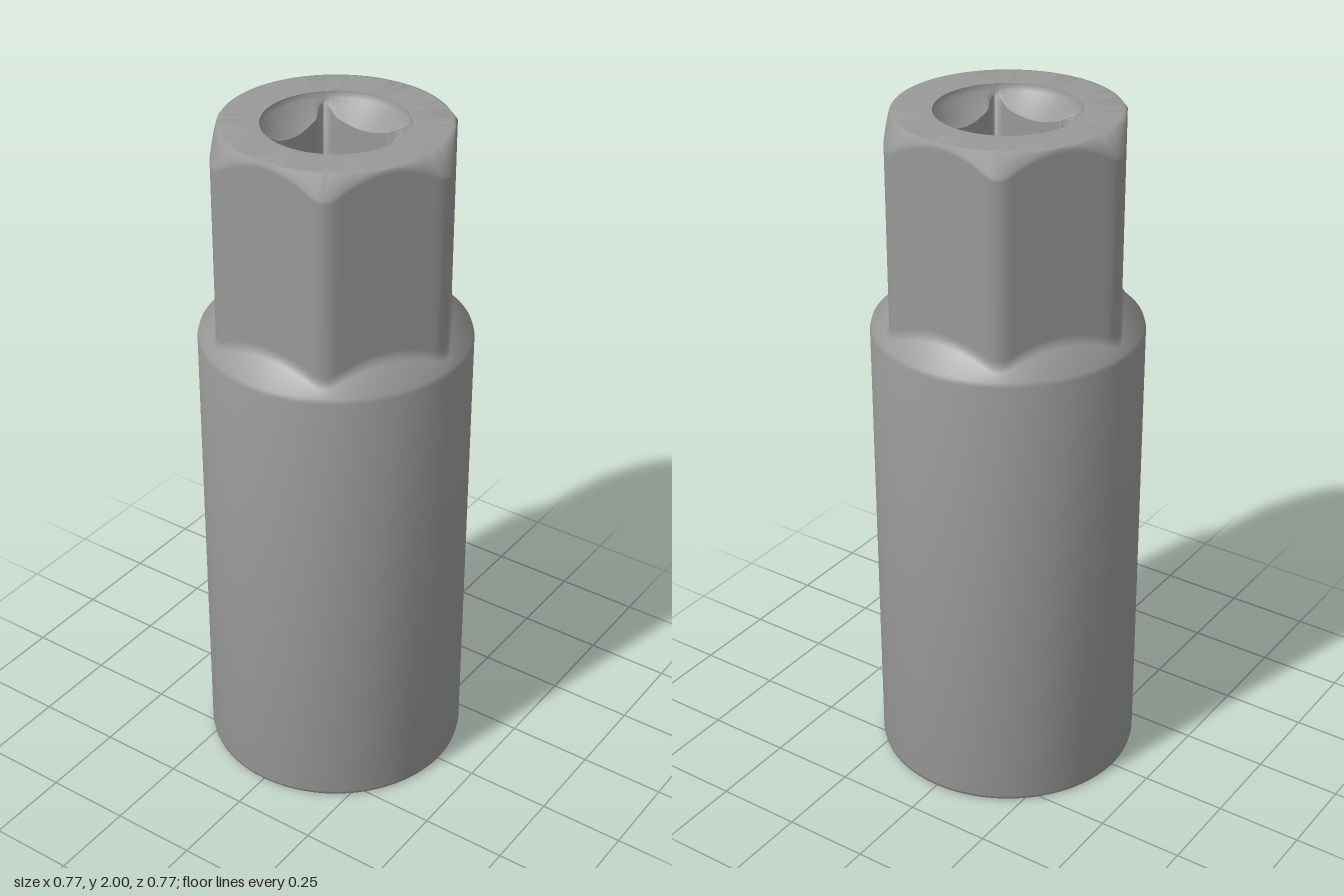
import * as THREE from 'three';
import { toCreasedNormals } from 'three/addons/utils/BufferGeometryUtils.js';

const SEGMENTS = 144;

// Cross-sections: radius as a function of the angle round the axis
const circle = (r) => () => r;

// Hexagon with rounded corners, corners on the x axis
const hexagon = (apothem, fillet) => {
  const step = Math.PI / 3;
  const cos30 = Math.cos(Math.PI / 6);
  const d = (apothem - fillet) / cos30;
  const tangent = Math.atan2(fillet / 2, d + fillet * cos30);
  return (a) => {
    const t = Math.abs(a - Math.round(a / step) * step);
    if (t >= tangent) return apothem / Math.cos(Math.PI / 6 - t);
    return d * Math.cos(t) + Math.sqrt(fillet ** 2 - (d * Math.sin(t)) ** 2);
  };
};

// Square whose corners swell outwards into rounded reliefs
const relievedSquare = (half, relief) => (a) => {
  const step = Math.PI / 2;
  const toSide = Math.abs(a - Math.round(a / step) * step);
  const toCorner = Math.PI / 4 - toSide;
  return half / Math.cos(toSide) + relief * Math.exp(-((toCorner / 0.13) ** 4));
};

// A ring pairs a cross-section with a height, which may depend on the radius
const ring = (section, height) => ({
  section,
  height: typeof height === 'function' ? height : () => height,
});

// Skin between rings: upwards on the outside, downwards on the inside
function loft(name, rings, material) {
  const positions = [];
  const index = [];
  rings.forEach(({ section, height }, i) => {
    for (let j = 0; j < SEGMENTS; j++) {
      const a = (j / SEGMENTS) * Math.PI * 2;
      const r = section(a);
      positions.push(r * Math.cos(a), height(r), -r * Math.sin(a));
      if (i === 0) continue;
      const k = (j + 1) % SEGMENTS;
      const low = (i - 1) * SEGMENTS;
      const high = i * SEGMENTS;
      index.push(low + j, low + k, high + k, low + j, high + k, high + j);
    }
  });
  const geometry = new THREE.BufferGeometry();
  geometry.setAttribute('position', new THREE.Float32BufferAttribute(positions, 3));
  geometry.setIndex(index);
  const mesh = new THREE.Mesh(toCreasedNormals(geometry, 0.95), material);
  mesh.name = name;
  return mesh;
}

export function createModel() {
  const group = new THREE.Group();
  group.name = 'deepSocket';
  const material = new THREE.MeshStandardMaterial({ color: 0x999999 });

  const headHex = hexagon(0.313, 0.06);
  const headFoot = (a) => headHex(a) + 0.01;
  const socketHex = hexagon(0.276, 0.002);
  const drive = relievedSquare(0.123, 0.02);

  // Heights where the conical cuts meet the straight walls
  const shoulderCut = (r) => 1.38 + (0.383 - r);
  const topCut = (r) => 2 - (r - 0.31) / 0.75;
  const driveCut = (r) => 1.975 - (0.2 - r) * 0.6;
  const mouthCut = (r) => (0.358 - r) * 0.58;

  const add = (name, rings) => group.add(loft(name, rings, material));

  // Round sleeve with softened edges, sloping shoulder and chamfered hexagonal head
  add('sleeveAndHexHead', [
    ring(circle(0.358), 0),
    ring(circle(0.372), 0),
    ring(circle(0.381), 0.005),
    ring(circle(0.383), 0.015),
    ring(circle(0.383), 1.37),
    ring(circle(0.379), 1.384),
    ring(headFoot, shoulderCut),
    ring(headHex, (r) => shoulderCut(r) + 0.005),
    ring(headHex, (r) => shoulderCut(r) + 0.02),
    ring(headHex, (r) => topCut(r) - 0.012),
    ring(headHex, topCut),
    ring(circle(0.31), 2),
    ring(circle(0.302), 2),
    ring(circle(0.2), 2),
  ]);
  // Square drive hole with a dished entry and a flat floor
  add('squareDrive', [
    ring(circle(0.2), 2),
    ring(circle(0.198), 1.98),
    ring(drive, driveCut),
    ring(drive, 1.6),
    ring(circle(0.11), 1.6),
  ]);
  // Narrow bore joining drive hole and socket
  add('bore', [ring(circle(0.11), 1.6), ring(circle(0.11), 1.3)]);
  // Hexagonal socket, open at the foot with a conical lead-in
  add('hexSocket', [
    ring(circle(0.11), 1.3),
    ring(socketHex, 1.3),
    ring(socketHex, mouthCut),
    ring(circle(0.358), 0),
  ]);

  return group;
}
